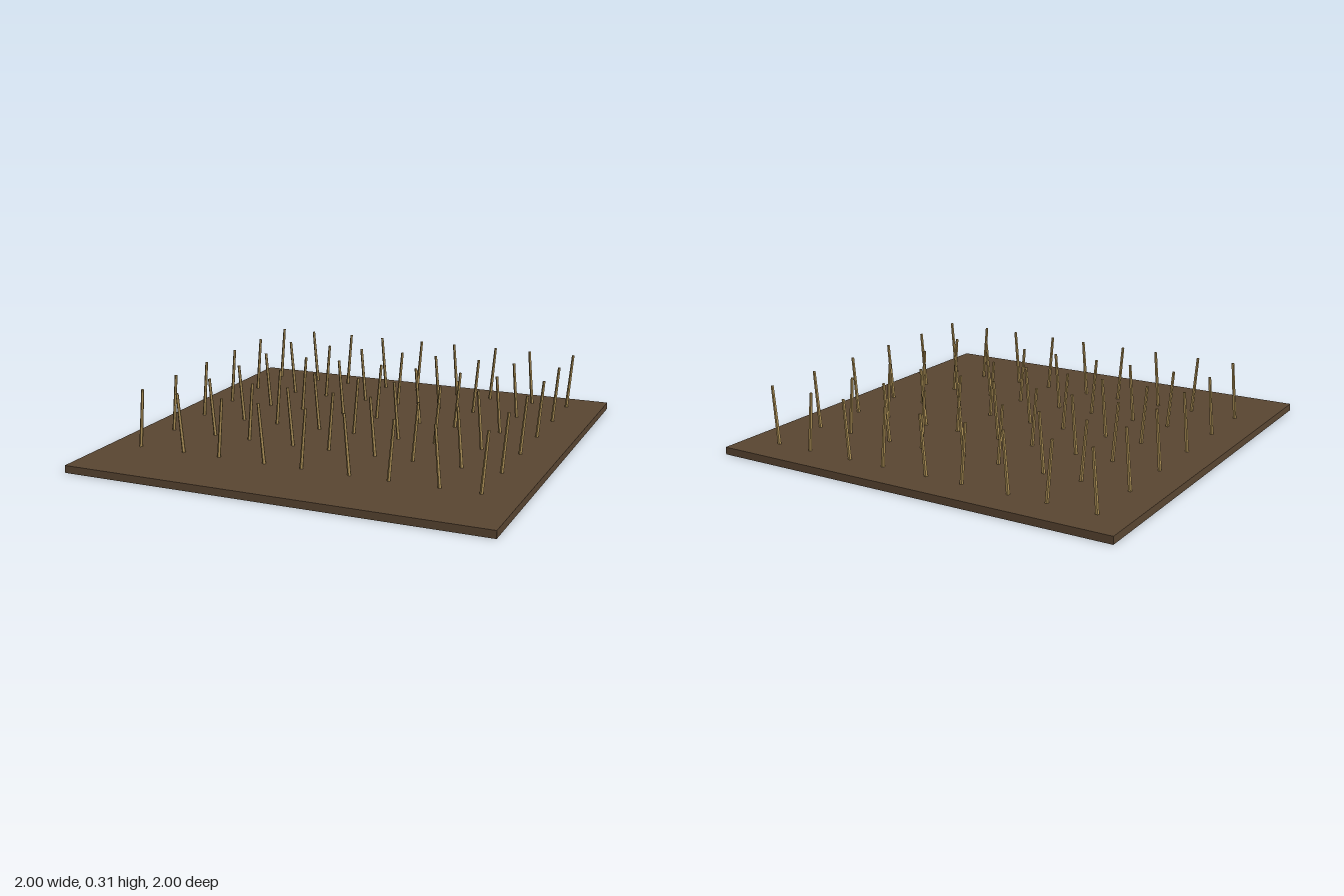
import * as THREE from 'three';

export function createModel() {
  const model = new THREE.Group();
  const soilMat = new THREE.MeshStandardMaterial({ color: 0x5a4632 });
  const stalkMat = new THREE.MeshStandardMaterial({ color: 0xa68a52, flatShading: true });

  // Flat square of soil
  const slabHeight = 0.035;
  const soil = new THREE.Mesh(new THREE.BoxGeometry(2, slabHeight, 2), soilMat);
  soil.name = 'soil';
  soil.position.y = slabHeight / 2;
  model.add(soil);

  // Rows of cut stalks, leaning alternately right and left
  const rows = 6, columns = 9, length = 0.28;
  const stalkGeo = new THREE.CylinderGeometry(0.007, 0.009, length, 5);
  for (let r = 0; r < rows; r++) {
    const row = new THREE.Group();
    row.name = `stalkRow${r + 1}`;
    row.position.z = -0.835 + r * 0.292;
    for (let c = 0; c < columns; c++) {
      const stalk = new THREE.Mesh(stalkGeo, stalkMat);
      stalk.name = 'stalk';
      stalk.position.set((c - 4) * 0.208, 0.173, 0);
      stalk.rotation.z = c % 2 ? 0.085 : -0.085;
      row.add(stalk);
    }
    model.add(row);
  }
  return model;
}
